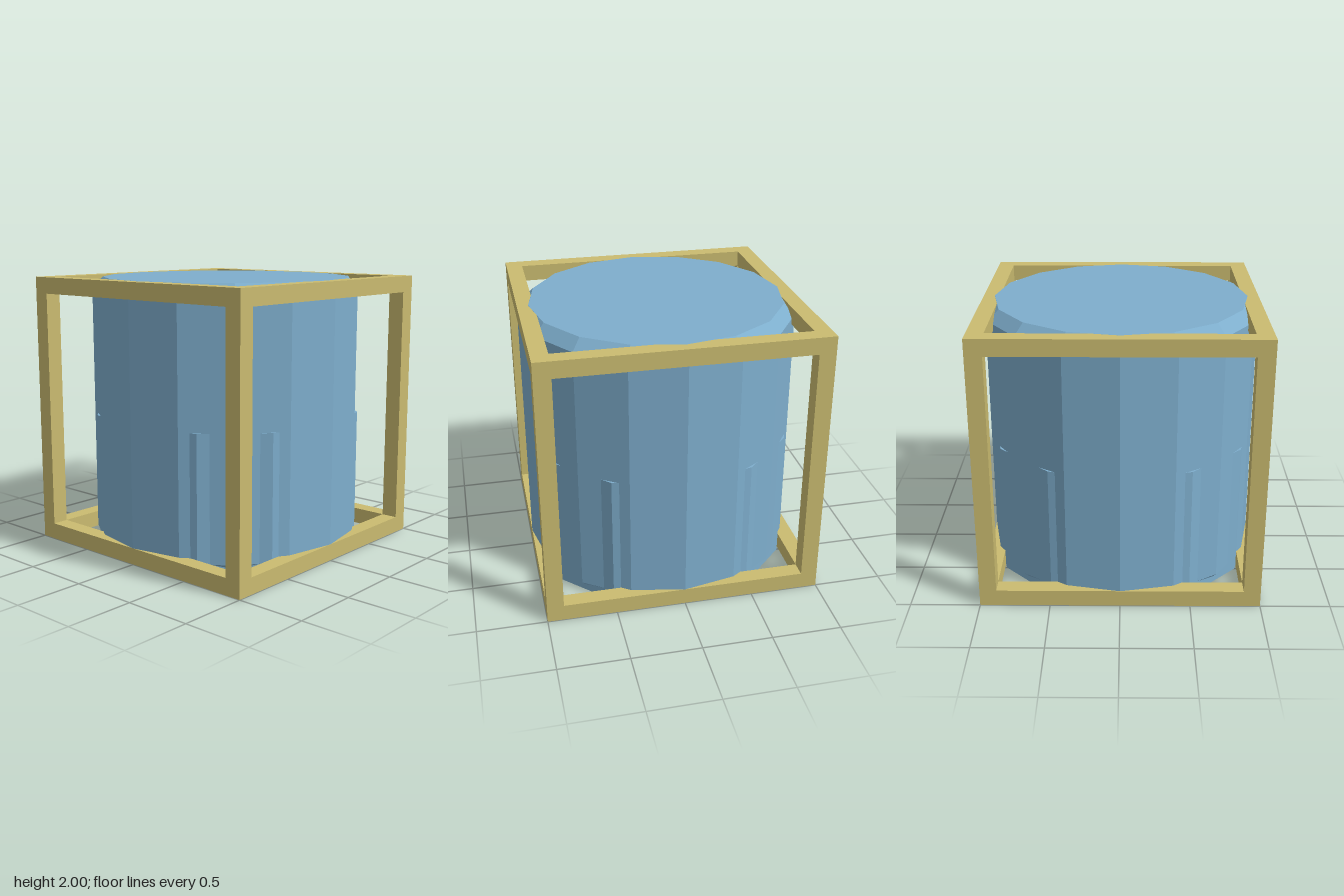
import * as THREE from 'three';

const BAR = 0.12;          // thickness of the frame bars
const OFF = 1 - BAR / 2;   // distance of bar centres from the middle
const LIFT = 0.0006;       // keeps the drum ends clear of the frame faces

export function createModel() {
  const model = new THREE.Group();
  model.name = 'framedDrum';

  const blue = new THREE.MeshStandardMaterial({ color: 0x7eaecd, flatShading: true });
  blue.name = 'drumBlue';
  const tan = new THREE.MeshStandardMaterial({ color: 0xcabb70 });
  tan.name = 'frameTan';

  function add(parent, name, geometry, material, x = 0, y = 0, z = 0) {
    const mesh = new THREE.Mesh(geometry, material);
    mesh.name = name;
    mesh.position.set(x, y, z);
    parent.add(mesh);
  }

  // Open cube frame: four posts with rails fitted between them
  const frame = new THREE.Group();
  frame.name = 'frame';
  model.add(frame);
  const inner = 2 - 2 * BAR;
  const post = new THREE.BoxGeometry(BAR, 2, BAR);
  const railX = new THREE.BoxGeometry(inner, BAR, BAR);
  const railZ = new THREE.BoxGeometry(BAR, BAR, inner);
  for (const a of [-OFF, OFF]) {
    for (const b of [-OFF, OFF]) {
      add(frame, 'post', post, tan, a, 1, b);
      add(frame, 'crossRail', railX, tan, 0, 1 + a, b);
      add(frame, 'sideRail', railZ, tan, a, 1 + b, 0);
    }
  }

  // Sixteen-sided drum with chamfered rims
  const profile = [
    [0, -LIFT], [0.92, -LIFT], [1, 0.08], [1, 1.92], [0.92, 2 + LIFT], [0, 2 + LIFT],
  ].map(([r, y]) => new THREE.Vector2(r, y));
  add(model, 'drum', new THREE.LatheGeometry(profile, 16), blue);

  // Twelve-sided lower core whose corners show as ridges on the drum
  add(model, 'lowerCore', new THREE.CylinderGeometry(1, 1, 1 + LIFT, 12), blue, 0, (1 - LIFT) / 2, 0);

  return model;
}
